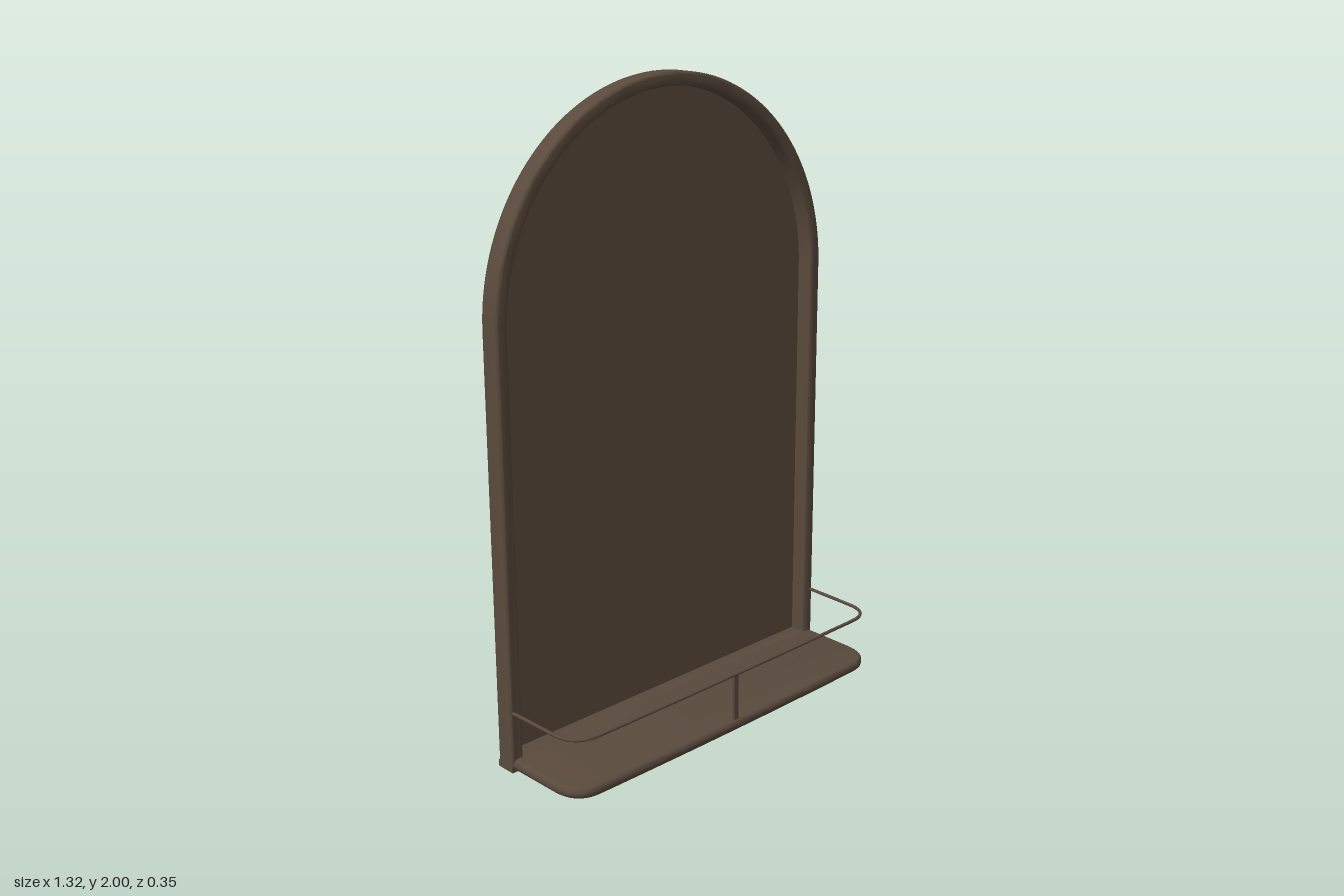
import * as THREE from 'three';
import { toCreasedNormals } from 'three/addons/utils/BufferGeometryUtils.js';

const R = 0.659;        // half width, also the radius of the arch
const SPRING = 1.341;   // height where the arch begins
const BACK = -0.177, FRONT = -0.112;

// Arched outline, drawn inward by an inset and cut off at the given bottom
function archPath(PathType, inset, bottom) {
  const r = R - inset;
  const p = new PathType();
  p.moveTo(-r, bottom);
  p.lineTo(r, bottom);
  p.lineTo(r, SPRING);
  p.absarc(0, SPRING, r, 0, Math.PI, false);
  p.lineTo(-r, bottom);
  return p;
}

// Extrusion with an edge bevel that stays inside the outline
function extrude(shape, depth, bevel, curveSegments = 40) {
  const g = new THREE.ExtrudeGeometry(shape, {
    depth: depth - 2 * bevel, curveSegments,
    bevelEnabled: bevel > 0, bevelSize: bevel, bevelThickness: bevel,
    bevelOffset: -bevel, bevelSegments: 3,
  });
  g.translate(0, 0, bevel);
  return toCreasedNormals(g, 0.6);
}

export function createModel() {
  const model = new THREE.Group();
  model.name = 'archedMirrorWithShelf';
  const bronze = new THREE.MeshStandardMaterial({ color: 0x5a4a3d });
  bronze.name = 'dark bronze';

  const add = (name, geometry, x = 0, y = 0, z = 0) => {
    const mesh = new THREE.Mesh(geometry, bronze);
    mesh.name = name;
    mesh.position.set(x, y, z);
    model.add(mesh);
    return mesh;
  };

  // Arched frame with an open middle and softened edges
  const ring = archPath(THREE.Shape, 0, 0.002);
  ring.holes.push(archPath(THREE.Path, 0.042, 0.042));
  add('frame', extrude(ring, FRONT - BACK, 0.009), 0, 0, BACK);

  // Mirror panel, deep inside the frame and flush with its back
  add('mirrorPanel', extrude(archPath(THREE.Shape, 0.003, 0.005), 0.012, 0), 0, 0, BACK);

  // Foot strip under the frame
  add('footStrip', new THREE.BoxGeometry(1.32, 0.022, FRONT - BACK), 0, 0.011, (FRONT + BACK) / 2);

  // Shelf: rounded front corners and a slightly bowed front edge
  const s = new THREE.Shape();   // y of the shape becomes -z
  s.moveTo(-0.654, 0.13);
  s.lineTo(-0.652, -0.07);
  s.bezierCurveTo(-0.65, -0.13, -0.62, -0.168, -0.56, -0.171);
  s.quadraticCurveTo(0, -0.183, 0.56, -0.171);
  s.bezierCurveTo(0.62, -0.168, 0.65, -0.13, 0.652, -0.07);
  s.lineTo(0.654, 0.13);
  s.closePath();
  const shelf = extrude(s, 0.036, 0.014, 16);
  shelf.rotateX(-Math.PI / 2);
  add('shelf', shelf, 0, 0.005, 0);

  // Thin guard rail following the shelf's edge
  const v = (x, z) => new THREE.Vector3(x, 0.193, z);
  const rail = new THREE.CurvePath();
  rail.add(new THREE.LineCurve3(v(-0.649, -0.125), v(-0.645, 0.07)));
  rail.add(new THREE.CubicBezierCurve3(v(-0.645, 0.07), v(-0.643, 0.128), v(-0.615, 0.158), v(-0.56, 0.161)));
  rail.add(new THREE.QuadraticBezierCurve3(v(-0.56, 0.161), v(0, 0.168), v(0.56, 0.161)));
  rail.add(new THREE.CubicBezierCurve3(v(0.56, 0.161), v(0.615, 0.158), v(0.643, 0.128), v(0.645, 0.07)));
  rail.add(new THREE.LineCurve3(v(0.645, 0.07), v(0.649, -0.125)));
  add('guardRail', new THREE.TubeGeometry(rail, 120, 0.0055, 8, false));

  // Centre post holding the rail
  add('railPost', new THREE.BoxGeometry(0.018, 0.158, 0.01), 0, 0.115, 0.163);

  return model;
}
